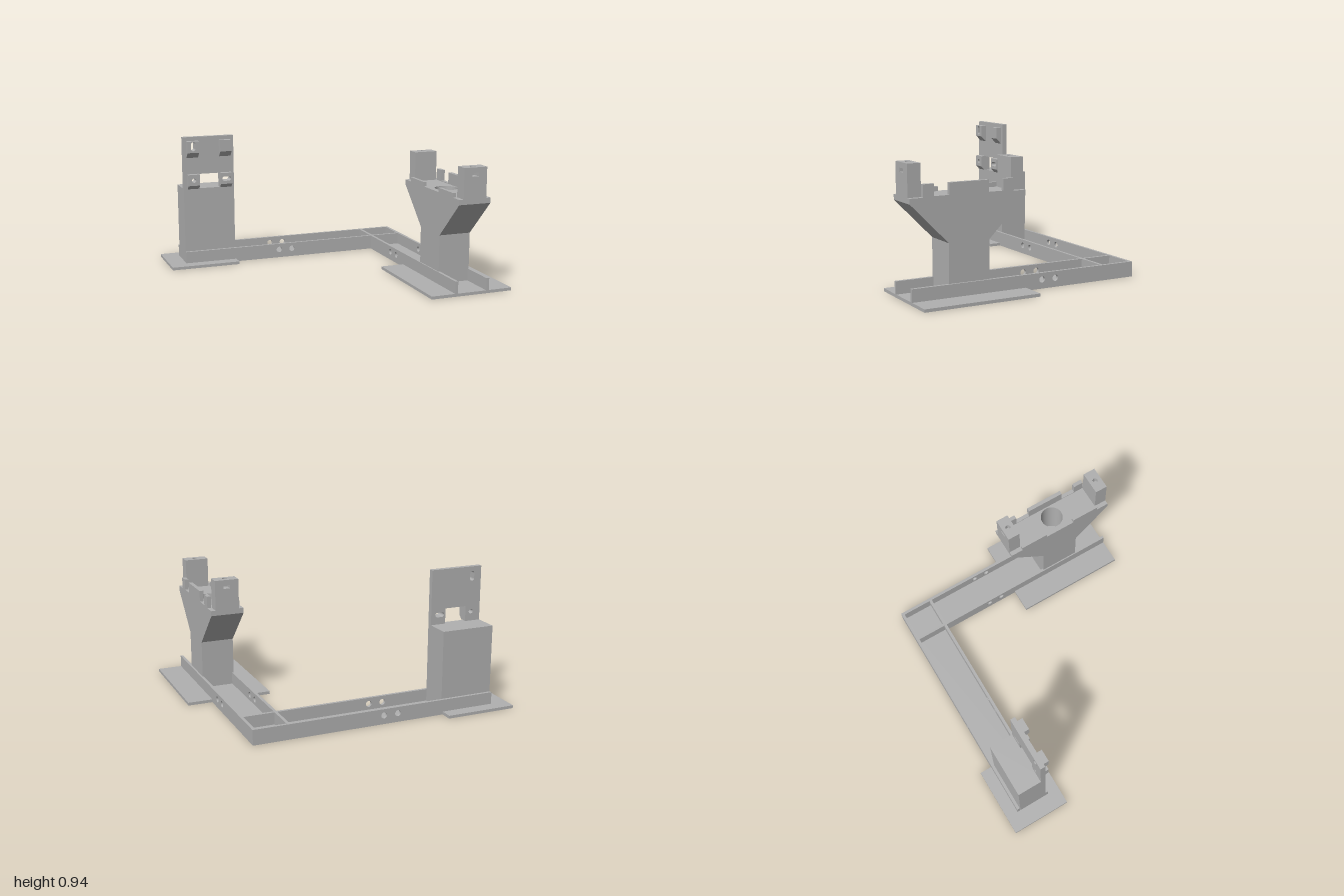
import * as THREE from 'three';

const grey = new THREE.MeshStandardMaterial({ color: 0xb0b0b0, side: THREE.DoubleSide });
grey.name = 'grey plastic';

export function createModel() {
  const model = new THREE.Group();
  model.name = 'cornerStand';

  const add = (name, geometry) => {
    const mesh = new THREE.Mesh(geometry, grey);
    mesh.name = name;
    model.add(mesh);
    return mesh;
  };

  // Box given by its minimum and maximum on each axis
  const box = (name, x0, x1, y0, y1, z0, z1) => {
    const g = new THREE.BoxGeometry(x1 - x0, y1 - y0, z1 - z0);
    g.translate((x0 + x1) / 2, (y0 + y1) / 2, (z0 + z1) / 2);
    return add(name, g);
  };

  const polygon = (points) => new THREE.Shape(points.map(([x, y]) => new THREE.Vector2(x, y)));
  const rect = (u0, u1, v0, v1) => polygon([[u0, v0], [u1, v0], [u1, v1], [u0, v1]]);

  // Rounded slot; a round hole when both half-lengths are zero
  const slot = (u, v, r, hu = 0, hv = 0) => {
    const p = new THREE.Path();
    if (hu > 0) {
      p.absarc(u + hu, v, r, -Math.PI / 2, Math.PI / 2);
      p.absarc(u - hu, v, r, Math.PI / 2, Math.PI * 1.5);
    } else if (hv > 0) {
      p.absarc(u, v + hv, r, 0, Math.PI);
      p.absarc(u, v - hv, r, Math.PI, Math.PI * 2);
    } else {
      p.absarc(u, v, r, 0, Math.PI * 2);
    }
    p.closePath();
    return p;
  };

  const extrude = (shape, holes, depth) => {
    shape.holes.push(...holes);
    return new THREE.ExtrudeGeometry(shape, { depth, bevelEnabled: false, curveSegments: 16 });
  };
  // Extrusions along z, x (shape u = -z) and y (shape v = -z)
  const alongZ = (shape, holes, z0, z1) => extrude(shape, holes, z1 - z0).translate(0, 0, z0);
  const alongX = (shape, holes, x0, x1) =>
    extrude(shape, holes, x1 - x0).rotateY(Math.PI / 2).translate(x0, 0, 0);
  const alongY = (shape, holes, y0, y1) =>
    extrude(shape, holes, y1 - y0).rotateX(-Math.PI / 2).translate(0, y0, 0);

  // Foot plates and channel floor
  box('rearFootPlate', -1, -0.505, 0, 0.02, -0.86, -0.44);
  box('frontFootPlate', 0.41, 1, 0, 0.02, 0.06, 0.855);
  box('rearChannelFloor', -0.88, 0.83, 0, 0.02, -0.775, -0.525);
  box('sideChannelFloor', 0.58, 0.83, 0, 0.02, -0.525, 0.855);

  // Channel walls with paired round holes
  for (const [z, x1] of [[-0.775, 0.83], [-0.545, 0.81]]) {
    const holes = [-0.17, -0.07].map((x) => slot(x, 0.06, 0.021));
    add('rearChannelWall', alongZ(rect(-0.88, x1, 0, 0.103), holes, z, z + 0.02));
  }
  for (const [x, z0] of [[0.58, -0.755], [0.81, -0.775]]) {
    const holes = [0.06, 0.16].map((u) => slot(u, 0.06, 0.021));
    add('sideChannelWall', alongX(rect(-0.855, -z0, 0, 0.103), holes, x, x + 0.02));
  }

  // Rear tower and its upright panel
  box('rearTower', -0.88, -0.507, 0, 0.565, -0.75, -0.545);
  const panelOutline = polygon([
    [-0.88, 0.565], [-0.77, 0.565], [-0.77, 0.67], [-0.615, 0.67],
    [-0.615, 0.565], [-0.507, 0.565], [-0.507, 0.94], [-0.88, 0.94],
  ]);
  const mounts = {
    upperLeft: () => [slot(-0.812, 0.875, 0.016, 0, 0.017)],
    lowerLeft: () => [slot(-0.812, 0.63, 0.016)],
    lowerRight: () => [slot(-0.572, 0.63, 0.016, 0.017, 0)],
    upperRight: () => [],
  };
  add('mountPanel', alongZ(panelOutline, Object.values(mounts).flatMap((f) => f()), -0.58, -0.545));

  // Raised pads, lower front edge sloped by lifting the front bottom corners
  const pad = (name, x0, y0, y1, lift, z0, z1, holes) => {
    const g = alongZ(rect(x0, x0 + 0.085, y0, y1), holes, z0, z1);
    const p = g.attributes.position;
    for (let i = 0; i < p.count; i++) {
      if (p.getY(i) < y0 + 0.001 && p.getZ(i) > z1 - 0.001) p.setY(i, y0 + lift);
    }
    g.computeVertexNormals();
    add(name, g);
  };
  for (const [side, x0] of [['Left', -0.855], ['Right', -0.615]]) {
    pad('upperPad', x0, 0.79, 0.912, 0.04, -0.545, -0.505, mounts['upper' + side]());
    pad('lowerPadBase', x0, 0.565, 0.672, 0, -0.545, -0.53, mounts['lower' + side]());
    pad('lowerPadFace', x0, 0.565, 0.672, 0.027, -0.53, -0.505, mounts['lower' + side]());
  }

  // Flared front tower: rectangles at rising heights, open at the top
  const levels = [[0.01, 0.32, 0.6], [0.355, 0.32, 0.6], [0.61, 0.063, 0.858], [0.645, 0.063, 0.858]];
  const X0 = 0.588, X1 = 0.817;
  const ring = ([y, z0, z1]) => [[X0, y, z1], [X1, y, z1], [X1, y, z0], [X0, y, z0]];
  const tri = [];
  for (let l = 0; l < levels.length - 1; l++) {
    const a = ring(levels[l]), b = ring(levels[l + 1]);
    for (let i = 0; i < 4; i++) {
      const j = (i + 1) % 4;
      tri.push(...a[i], ...a[j], ...b[j], ...a[i], ...b[j], ...b[i]);
    }
  }
  const body = new THREE.BufferGeometry();
  body.setAttribute('position', new THREE.Float32BufferAttribute(tri, 3));
  body.computeVertexNormals();
  add('frontTower', body);

  // Tower deck with a round well
  const deck = rect(X0, X1, -0.858, -0.063);
  deck.holes.push(slot(0.703, -0.46, 0.078));
  add('towerDeck', new THREE.ShapeGeometry(deck, 24).rotateX(-Math.PI / 2).translate(0, 0.645, 0));
  add('wellWall', new THREE.CylinderGeometry(0.078, 0.078, 0.295, 48, 1, true).translate(0.703, 0.4975, 0.46));
  add('wellFloor', new THREE.CircleGeometry(0.078, 48).rotateX(-Math.PI / 2).translate(0.703, 0.35, 0.46));

  // Retaining lips on both sides of the deck
  for (const [z0, z1] of [[0.15, 0.35], [0.57, 0.77]]) box('lowLip', X0, 0.61, 0.64, 0.675, z0, z1);
  for (const [z0, z1] of [[0.15, 0.22], [0.325, 0.595], [0.7, 0.77]]) {
    box('tallLip', 0.79, X1, 0.64, 0.725, z0, z1);
  }
  for (const [z0, z1] of [[0.22, 0.325], [0.595, 0.7]]) box('lipSill', 0.79, X1, 0.64, 0.65, z0, z1);

  // End posts: solid foot, layer with a nut slot on the outer face, drilled cap
  for (const [inner, outer] of [[0.15, 0.063], [0.77, 0.858]]) {
    const z0 = Math.min(inner, outer), z1 = Math.max(inner, outer);
    const deep = outer + (inner - outer) * 0.72;
    box('postFoot', 0.62, 0.785, 0.64, 0.79, z0, z1);
    const pocket = polygon([
      [0.62, -inner], [0.785, -inner], [0.785, -outer], [0.727, -outer],
      [0.727, -deep], [0.679, -deep], [0.679, -outer], [0.62, -outer],
    ]);
    add('postNutSlot', alongY(pocket, [], 0.79, 0.815));
    const hole = slot(0.703, -(z0 + z1) / 2, 0.017);
    add('postCap', alongY(rect(0.62, 0.785, -z1, -z0), [hole], 0.815, 0.85));
  }

  return model;
}
